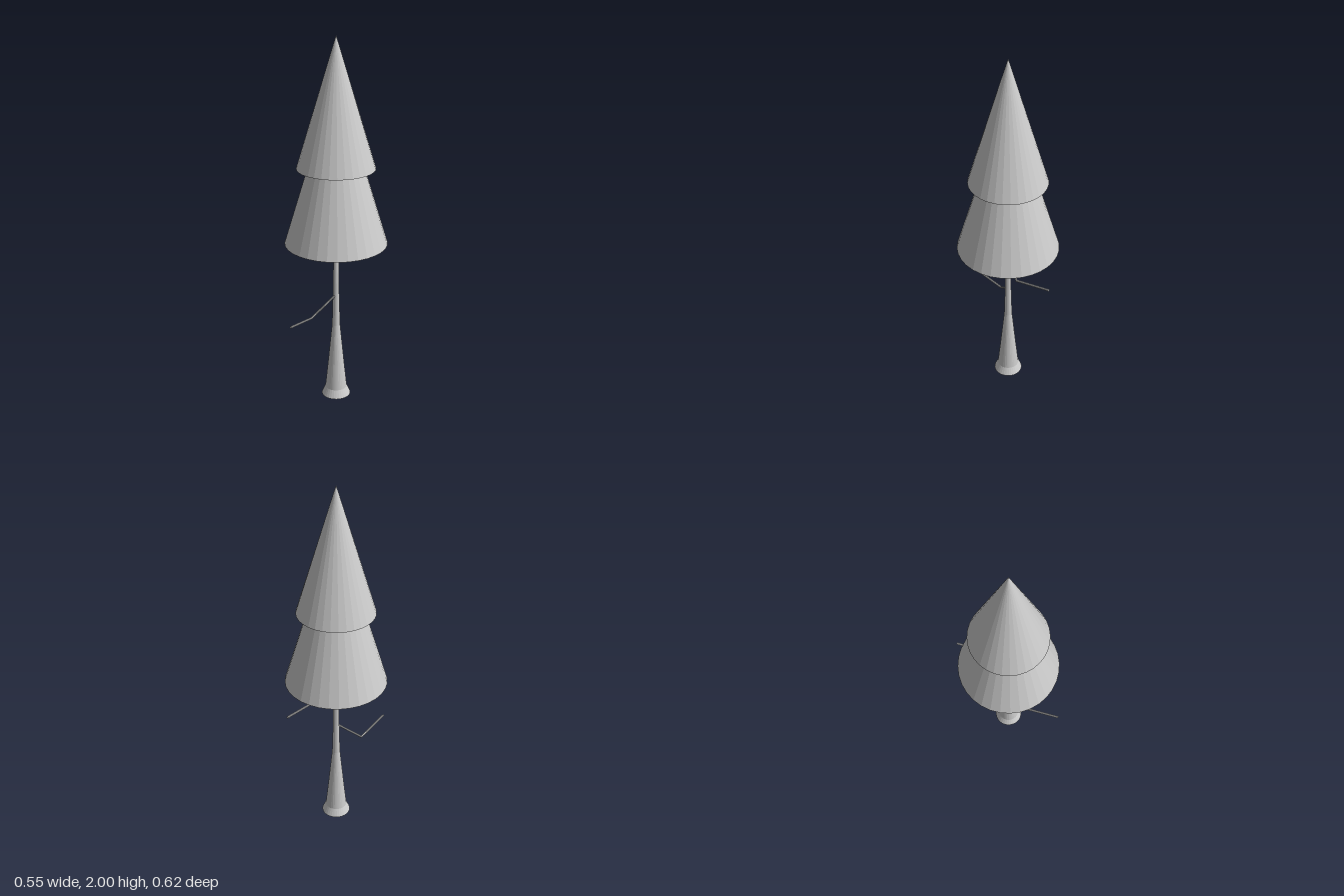
import * as THREE from 'three';

const material = new THREE.MeshStandardMaterial({ color: 0xcccccc, flatShading: true });

function addMesh(parent, name, geometry) {
  const mesh = new THREE.Mesh(geometry, material);
  mesh.name = name;
  parent.add(mesh);
  return mesh;
}

// Straight round stick between two points
function addStick(parent, name, from, to, radius) {
  const dir = to.clone().sub(from);
  const stick = addMesh(parent, name, new THREE.CylinderGeometry(radius, radius, dir.length(), 8));
  stick.position.copy(from).add(to).multiplyScalar(0.5);
  stick.quaternion.setFromUnitVectors(new THREE.Vector3(0, 1, 0), dir.normalize());
}

// Bare twig with a single bend
function addBranch(parent, name, points) {
  const radius = 0.006;
  const [root, elbow, tip] = points.map((p) => new THREE.Vector3(...p));
  const branch = new THREE.Group();
  branch.name = name;
  addStick(branch, 'innerTwig', root, elbow, radius);
  addStick(branch, 'outerTwig', elbow, tip, radius);
  addMesh(branch, 'elbow', new THREE.SphereGeometry(radius, 8, 6)).position.copy(elbow);
  parent.add(branch);
}

export function createModel() {
  const tree = new THREE.Group();
  tree.name = 'tree';

  // Trunk: flared foot, long taper, closed at both ends
  const profile = [[0, 0], [0.08, 0], [0.06, 0.045], [0.045, 0.19], [0.022, 0.43], [0.017, 0.62], [0.013, 0.92], [0, 0.92]];
  addMesh(tree, 'trunk', new THREE.LatheGeometry(profile.map((p) => new THREE.Vector2(...p)), 32));

  // Foliage: two stacked cones
  const tiers = [
    ['lowerFoliage', 0.273, 0.915, 1.81],
    ['upperFoliage', 0.206, 1.325, 2],
  ];
  for (const [name, radius, bottom, top] of tiers) {
    addMesh(tree, name, new THREE.ConeGeometry(radius, top - bottom, 32)).position.y = (top + bottom) / 2;
  }

  // Bent branches, one to the front right and one to the back left
  addBranch(tree, 'frontBranch', [[0, 0.61, 0.01], [-0.102, 0.498, 0.107], [-0.135, 0.534, 0.308]]);
  addBranch(tree, 'backBranch', [[0.005, 0.893, -0.005], [0.095, 0.785, -0.107], [0.111, 0.818, -0.308]]);

  return tree;
}
